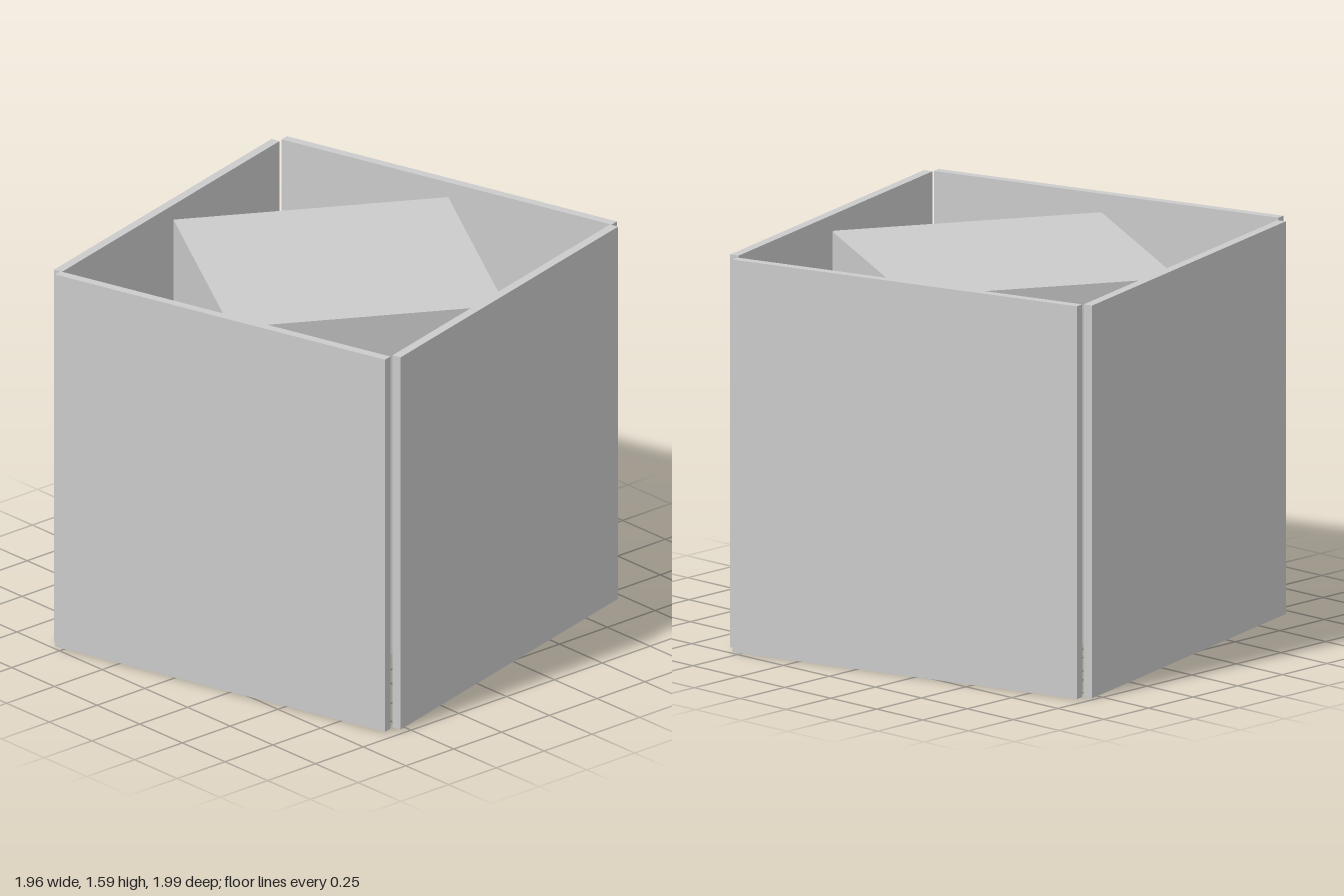
import * as THREE from 'three';

export function createModel() {
  const group = new THREE.Group();
  const material = new THREE.MeshStandardMaterial({ color: 0xcccccc, flatShading: true });
  const tilt = THREE.MathUtils.degToRad(15);

  function addBox(name, size, position, turn) {
    const mesh = new THREE.Mesh(new THREE.BoxGeometry(...size), material);
    mesh.name = name;
    mesh.position.set(...position);
    mesh.rotation.y = turn;
    group.add(mesh);
  }

  // Four thin panels standing around the centre, with small gaps at the corners
  const height = 1.58, thickness = 0.038;
  const panels = [
    { name: 'frontPanel', width: 1.54, distance: 0.806, base: 0.007 },
    { name: 'leftPanel', width: 1.55, distance: 0.79, base: 0.008 },
    { name: 'backPanel', width: 1.54, distance: 0.806, base: 0.003 },
    { name: 'rightPanel', width: 1.55, distance: 0.79, base: 0 },
  ];
  panels.forEach(({ name, width, distance, base }, i) => {
    const turn = tilt + i * Math.PI / 2;
    addBox(name, [width, height, thickness],
      [Math.sin(turn) * distance, base + height / 2, Math.cos(turn) * distance], turn);
  });

  // Solid block, turned so its corners meet the panels
  const bottom = 0.08, top = 1.52;
  addBox('innerBlock', [1.095, top - bottom, 1.095], [0.003, (top + bottom) / 2, -0.015], -Math.PI / 6);

  return group;
}
